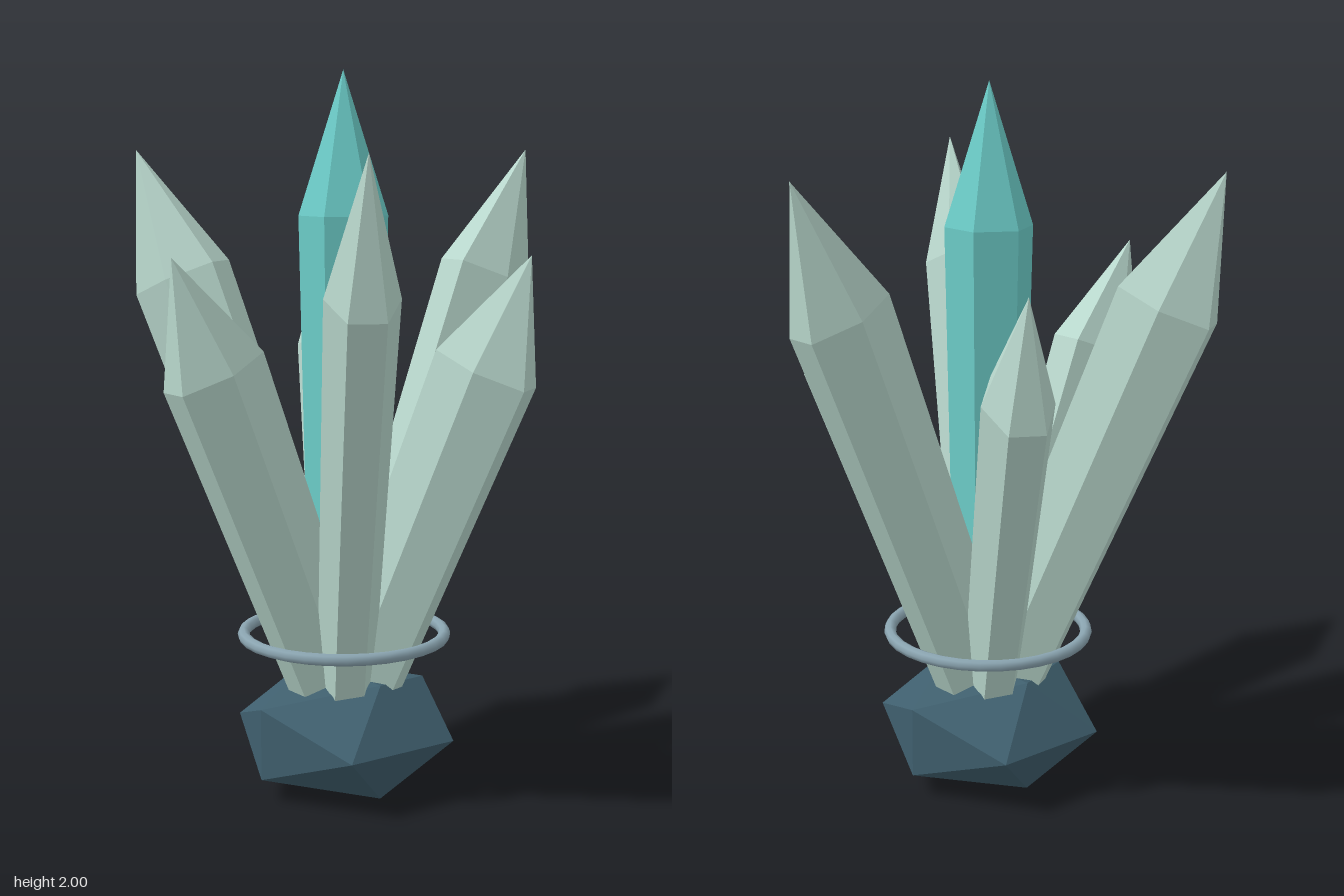
import * as THREE from 'three';
import { mergeGeometries } from 'three/addons/utils/BufferGeometryUtils.js';

const flat = (color) => new THREE.MeshStandardMaterial({ color, flatShading: true });

// Six-sided crystal: tapered shaft with a pointed tip, standing on y = 0
function crystalGeometry(radius, baseRadius, shaft, tip, depth = 1) {
  const body = new THREE.CylinderGeometry(radius, baseRadius, shaft, 6).translate(0, shaft / 2, 0);
  const point = new THREE.ConeGeometry(radius, tip, 6, 1, true).translate(0, shaft + tip / 2, 0);
  return mergeGeometries([body, point]).rotateY(Math.PI / 6).scale(1, 1, depth);
}

export function createModel() {
  const model = new THREE.Group();
  const cluster = new THREE.Group();
  cluster.name = 'crystalCluster';
  cluster.position.z = 0.05;
  model.add(cluster);

  const add = (name, geometry, material, y) => {
    const mesh = new THREE.Mesh(geometry, material);
    mesh.name = name;
    mesh.position.y = y;
    cluster.add(mesh);
    return mesh;
  };

  // Squashed faceted rock
  const rock = new THREE.IcosahedronGeometry(0.33, 0).scale(1, 0.58, 1);
  add('baseRock', rock, flat(0x3f5f6e), 0.163);

  // Floating ring around the crystals
  const ring = new THREE.TorusGeometry(0.283, 0.017, 8, 32).rotateX(Math.PI / 2);
  add('ring', ring, new THREE.MeshStandardMaterial({ color: 0x8aa4b0 }), 0.44);

  // Upright centre crystal
  add('centreCrystal', crystalGeometry(0.123, 0.098, 1.24, 0.39), flat(0x6cccc8), 0.37);

  // Six leaning crystals, alternating short and long, starting at the front
  const pale = flat(0xb9d8cd);
  const short = crystalGeometry(0.098, 0.08, 0.951, 0.329, 1.58);
  const long = crystalGeometry(0.098, 0.08, 1.183, 0.387, 1.58);
  for (let i = 0; i < 6; i++) {
    const angle = (i * Math.PI) / 3;
    const crystal = add(i % 2 ? 'longCrystal' : 'shortCrystal', i % 2 ? long : short, pale, 0.33);
    crystal.position.x = 0.06 * Math.sin(angle);
    crystal.position.z = 0.06 * Math.cos(angle);
    crystal.rotation.set(THREE.MathUtils.degToRad(22.1), angle, 0, 'YXZ');
  }
  return model;
}
